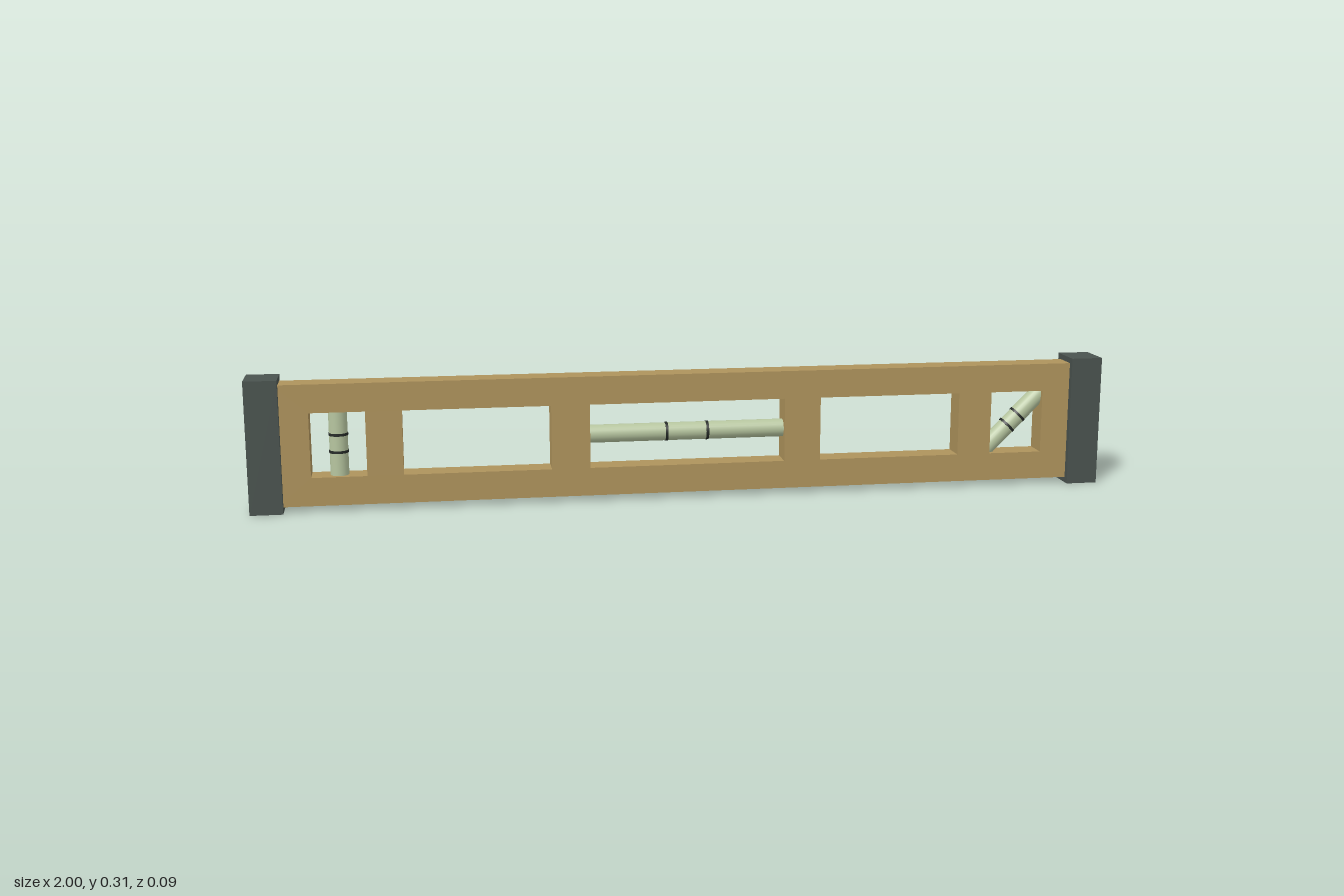
import * as THREE from 'three';

const MID = 0.153; // height of the centre line

export function createModel() {
  const mat = (name, color) => {
    const m = new THREE.MeshStandardMaterial({ color });
    m.name = name;
    return m;
  };
  const wood = mat('tan frame', 0xae935c);
  const rubber = mat('dark grey cap', 0x4a534f);
  const glass = mat('pale green vial', 0xb6c59f);
  const black = mat('black line', 0x252a27);

  const root = new THREE.Group();
  root.name = 'spiritLevel';
  const add = (parent, name, geo, material, x, y, z) => {
    const mesh = new THREE.Mesh(geo, material);
    mesh.name = name;
    mesh.position.set(x, y, z);
    parent.add(mesh);
    return mesh;
  };

  // Long frame with five rectangular windows
  const rect = (target, x0, x1, h) => {
    target.moveTo(x0, -h);
    target.lineTo(x1, -h);
    target.lineTo(x1, h);
    target.lineTo(x0, h);
    target.closePath();
    return target;
  };
  const outline = rect(new THREE.Shape(), -0.94, 0.94, 0.14);
  const windows = [[-0.862, -0.737], [-0.655, -0.318], [-0.229, 0.229], [0.315, 0.653], [0.733, 0.86]];
  for (const [a, b] of windows) outline.holes.push(rect(new THREE.Path(), a, b, 0.0745));
  const frame = new THREE.ExtrudeGeometry(outline, { depth: 0.06, bevelEnabled: false });
  add(root, 'frame', frame, wood, 0, MID, -0.03);

  // End caps
  for (const s of [1, -1]) {
    add(root, s > 0 ? 'leftEndCap' : 'rightEndCap',
      new THREE.BoxGeometry(0.074, 0.306, 0.09), rubber, s * 0.963, MID, 0);
  }

  // Vials, each with two marking rings; the ends are sunk into the frame
  const vial = (name, x, length, ringGap, angle) => {
    const g = new THREE.Group();
    g.name = name;
    g.position.set(x, MID, 0);
    g.rotation.z = angle;
    add(g, 'tube', new THREE.CylinderGeometry(0.021, 0.021, length, 24), glass, 0, 0, 0);
    for (const s of [1, -1]) {
      add(g, 'markRing', new THREE.CylinderGeometry(0.0222, 0.0222, 0.006, 24), black, 0, s * ringGap, 0);
    }
    root.add(g);
  };
  vial('levelVial', 0, 0.47, 0.048, Math.PI / 2);
  vial('plumbVial', -0.799, 0.16, 0.02, 0);
  vial('diagonalVial', 0.797, 0.21, 0.018, -Math.PI / 4);

  return root;
}
